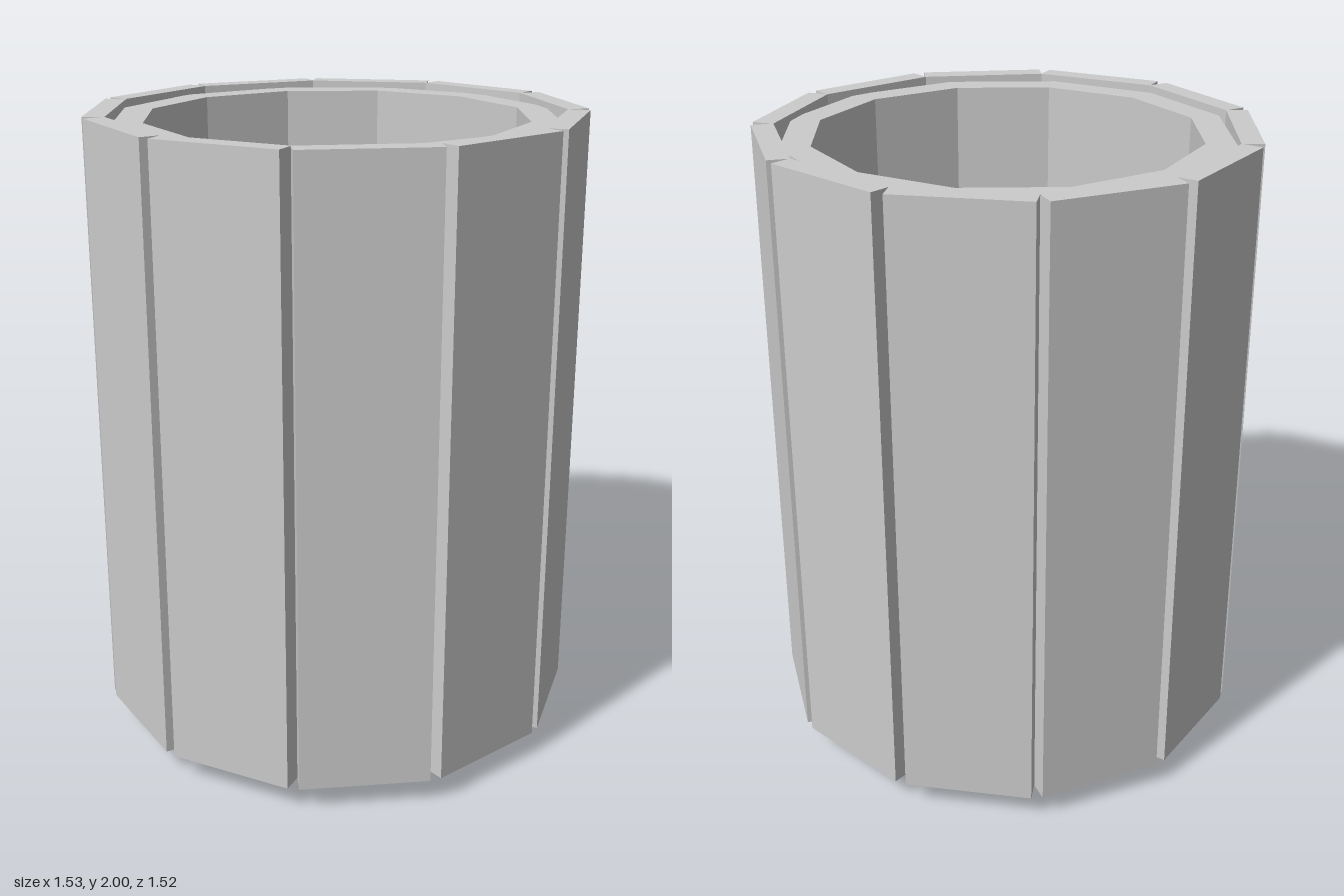
import * as THREE from 'three';

export function createModel() {
  const group = new THREE.Group();
  group.name = 'slattedCup';
  const material = new THREE.MeshStandardMaterial({ color: 0xcccccc, flatShading: true });
  const centreZ = 0.012;

  // Twelve-sided hollow cup with a stepped, tapering base and a rim just below the slats
  const profile = [
    [0, 0], [0.4, 0], [0.6, 0.077], [0.69, 0.15],
    [0.69, 1.98], [0.596, 1.98], [0.596, 0.15], [0, 0.15],
  ].map(([r, y]) => new THREE.Vector2(r, y));
  const cup = new THREE.Mesh(new THREE.LatheGeometry(profile, 12, 0.168), material);
  cup.name = 'cup';
  cup.position.z = centreZ;
  group.add(cup);

  // Ring of eleven upright slats around the cup
  const count = 11, width = 0.4, thickness = 0.068, bottom = 0.08, top = 2, outer = 0.745;
  const slatGeometry = new THREE.BoxGeometry(width, top - bottom, thickness);
  slatGeometry.translate(0, (top + bottom) / 2, outer - thickness / 2);
  for (let i = 0; i < count; i++) {
    const slat = new THREE.Mesh(slatGeometry, material);
    slat.name = `slat${i + 1}`;
    slat.position.z = centreZ;
    slat.rotation.y = (i / count) * Math.PI * 2;
    group.add(slat);
  }
  return group;
}
